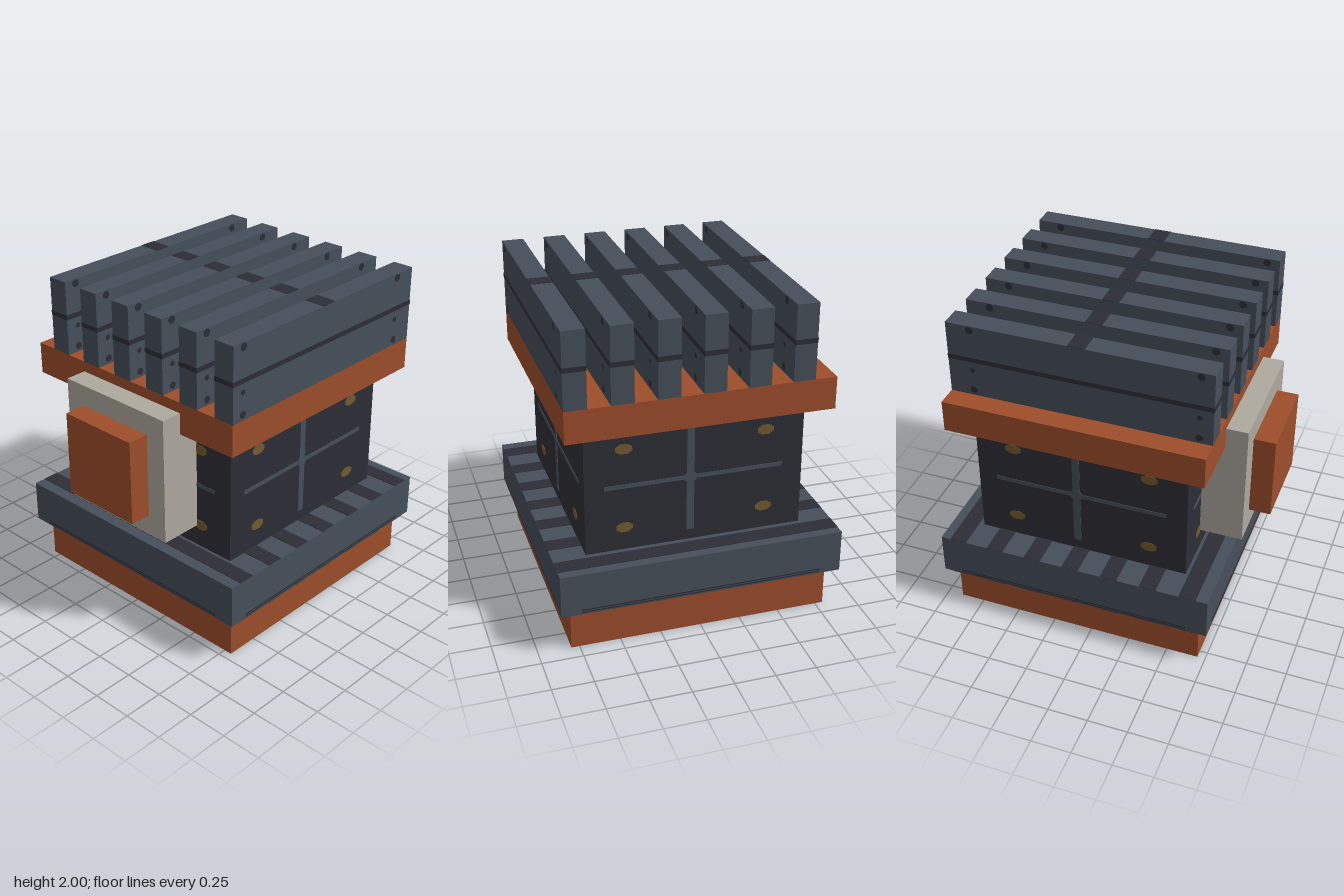
import * as THREE from 'three';

const mat = (name, color) => {
  const m = new THREE.MeshStandardMaterial({ color });
  m.name = name;
  return m;
};

export function createModel() {
  const rust = mat('rust', 0x9e4e2b);
  const slate = mat('slate', 0x464f5a);
  const dark = mat('charcoal', 0x2d2d36);
  const stone = mat('stone', 0xaea99f);
  const brass = mat('brass', 0x745b2e);
  const model = new THREE.Group();
  model.name = 'finnedMachine';

  // Box given by its limits on each axis
  const box = (parent, name, material, x0, x1, y0, y1, z0, z1) => {
    const mesh = new THREE.Mesh(new THREE.BoxGeometry(x1 - x0, y1 - y0, z1 - z0), material);
    mesh.position.set((x0 + x1) / 2, (y0 + y1) / 2, (z0 + z1) / 2);
    mesh.name = name;
    parent.add(mesh);
    return mesh;
  };

  // Thin eight-sided stud lying in the xy plane
  const stud = (parent, name, material, x, y, z, w, h) => {
    const geo = new THREE.CylinderGeometry(0.541, 0.541, 0.006, 8);
    geo.rotateY(Math.PI / 8).rotateX(Math.PI / 2).scale(w, h, 1);
    const mesh = new THREE.Mesh(geo, material);
    mesh.position.set(x, y, z);
    mesh.name = name;
    parent.add(mesh);
    return mesh;
  };

  // Stacked main blocks
  box(model, 'base', rust, -0.8, 0.8, 0, 0.267, -0.9, 0.7);
  box(model, 'ledge', slate, -0.867, 0.867, 0.267, 0.533, -0.967, 0.767);
  box(model, 'body', dark, -0.667, 0.667, 0.533, 1.333, -0.767, 0.567);
  box(model, 'collar', rust, -0.8, 0.8, 1.333, 1.533, -0.9, 0.7);

  // Front panel and its raised block
  box(model, 'frontPanel', stone, -0.4, 0.4, 0.667, 1.467, 0.567, 0.833);
  box(model, 'panelBlock', rust, -0.267, 0.267, 0.8, 1.333, 0.833, 0.967);

  // Dark slats across the top and underside of the ledge
  for (let i = 0; i < 7; i++) {
    const z = -0.907 + i * 0.249;
    box(model, 'ledgeSlatTop', dark, -0.866, 0.866, 0.53, 0.536, z, z + 0.106);
    box(model, 'ledgeSlatBottom', dark, -0.866, 0.866, 0.264, 0.27, z, z + 0.106);
  }

  // Cross, studs and ledge grooves repeated on all four sides
  for (let i = 0; i < 4; i++) {
    const side = new THREE.Group();
    side.name = 'sideDetails';
    side.position.z = -0.1;
    side.rotation.y = i * Math.PI / 2;
    model.add(side);
    box(side, 'crossBar', slate, -0.55, 0.54, 0.937, 0.963, 0.664, 0.67);
    box(side, 'crossPost', slate, -0.052, -0.006, 0.6, 1.27, 0.664, 0.671);
    stud(side, 'crossHub', slate, -0.029, 0.95, 0.669, 0.075, 0.075);
    for (const x of [-0.43, 0.43])
      for (const y of [0.68, 1.19]) stud(side, 'bodyStud', brass, x, y, 0.667, 0.1, 0.062);
    for (const y of [0.278, 0.292]) box(side, 'ledgeGroove', dark, -0.745, 0.735, y, y + 0.007, 0.864, 0.869);
  }

  // Row of upright fins with bands and rivets
  for (let i = 0; i < 6; i++) {
    const fin = new THREE.Group();
    fin.name = 'fin';
    fin.position.x = -0.6 + i * 0.2667;
    model.add(fin);
    const w = 0.0667;
    box(fin, 'finPlate', slate, -w, w, 1.533, 1.998, -0.9, 0.7);
    box(fin, 'finBand', dark, -w - 0.002, w + 0.002, 1.758, 1.788, -0.902, 0.702);
    box(fin, 'finTopBand', dark, -w, w, 1.995, 2, -0.155, -0.05);
    for (const s of [-1, 1])
      for (const z of [-0.75, 0.62])
        for (const [y, size] of [[1.972, 0.045], [1.705, 0.03], [1.57, 0.042]])
          stud(fin, 'finRivet', dark, s * w, y, z, size, size).rotation.y = s * Math.PI / 2;
  }
  return model;
}
